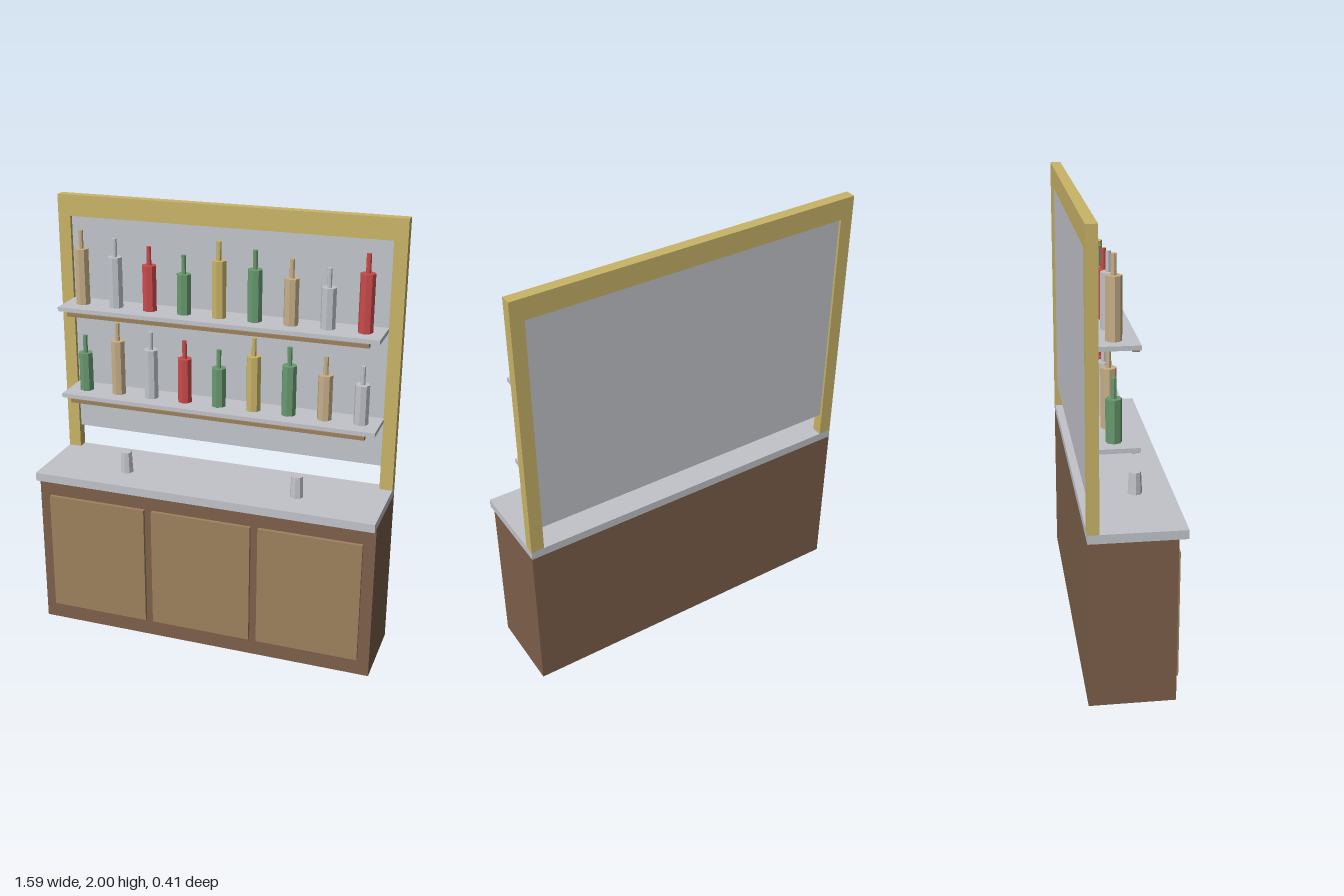
import * as THREE from 'three';

const mat = (name, color, flatShading = false) => {
  const m = new THREE.MeshStandardMaterial({ color, flatShading });
  m.name = name;
  return m;
};

export function createModel() {
  const bar = new THREE.Group();
  bar.name = 'backBar';

  const wood = mat('darkWood', 0x7d5f4a);
  const panelWood = mat('lightWood', 0x9d815d);
  const stone = mat('paleGrey', 0xc1c4ca);
  const brass = mat('brass', 0xc9b467);
  const tan = mat('tanGlass', 0xc8b088, true);
  const clear = mat('clearGlass', 0xc1c4ca, true);
  const red = mat('redGlass', 0xcb4b4b, true);
  const green = mat('greenGlass', 0x699a70, true);
  const gold = mat('goldGlass', 0xc9b467, true);

  const add = (name, geometry, material, x, y, z, parent = bar) => {
    const mesh = new THREE.Mesh(geometry, material);
    mesh.name = name;
    mesh.position.set(x, y, z);
    parent.add(mesh);
    return mesh;
  };
  // Box given by its limits on each axis
  const box = (name, material, [x0, x1], [y0, y1], [z0, z1]) =>
    add(name, new THREE.BoxGeometry(x1 - x0, y1 - y0, z1 - z0), material,
      (x0 + x1) / 2, (y0 + y1) / 2, (z0 + z1) / 2);

  // Cabinet, its three door panels and the counter
  box('cabinet', wood, [-0.797, 0.797], [0, 0.738], [-0.203, 0.163]);
  for (const i of [-1, 0, 1]) {
    const x = i * 0.508;
    box('doorPanel', panelWood, [x - 0.236, x + 0.236], [0.082, 0.656], [0.16, 0.18]);
  }
  box('counter', stone, [-0.797, 0.797], [0.738, 0.777], [-0.203, 0.203]);

  // Back frame with a thin recessed mirror
  for (const s of [-1, 1]) {
    const a = s * 0.738, b = s * 0.797;
    box('framePost', brass, [Math.min(a, b), Math.max(a, b)], [0.777, 1.905], [-0.203, -0.155]);
  }
  box('frameTopRail', brass, [-0.797, 0.797], [1.905, 2], [-0.203, -0.155]);
  box('mirror', stone, [-0.738, 0.738], [0.884, 1.905], [-0.192, -0.172]);

  // Bottle: eight-sided body and slim neck
  const bottle = (x, y, z, height, material) => {
    const g = new THREE.Group();
    g.name = 'bottle';
    g.position.set(x, y, z);
    add('bottleBody', new THREE.CylinderGeometry(0.033, 0.033, height, 8), material, 0, height / 2, 0, g);
    add('bottleNeck', new THREE.CylinderGeometry(0.011, 0.011, 0.083, 8), material, 0, height + 0.0415, 0, g);
    bar.add(g);
  };

  // Shelves with under-trim and their rows of bottles
  const tints = [green, tan, clear, red, green, gold];
  const heights = [0.254, 0.229, 0.205, 0.18];
  const shelves = [
    { top: 1.111, tint: 0, size: 3 },
    { top: 1.525, tint: 1, size: 0 },
  ];
  for (const { top, tint, size } of shelves) {
    box('shelf', stone, [-0.737, 0.737], [top - 0.019, top], [-0.172, 0.015]);
    box('shelfTrim', panelWood, [-0.692, 0.692], [top - 0.039, top - 0.022], [-0.013, 0.015]);
    for (let i = 0; i < 9; i++) {
      bottle((i - 4) * 0.1634, top, -0.081,
        heights[(i + size) % 4], tints[(i + tint) % 6]);
    }
  }

  // Two tumblers on the counter
  for (const s of [-1, 1]) {
    add('tumbler', new THREE.CylinderGeometry(0.026, 0.031, 0.098, 8), clear, s * 0.408, 0.826, 0.041);
  }

  return bar;
}
